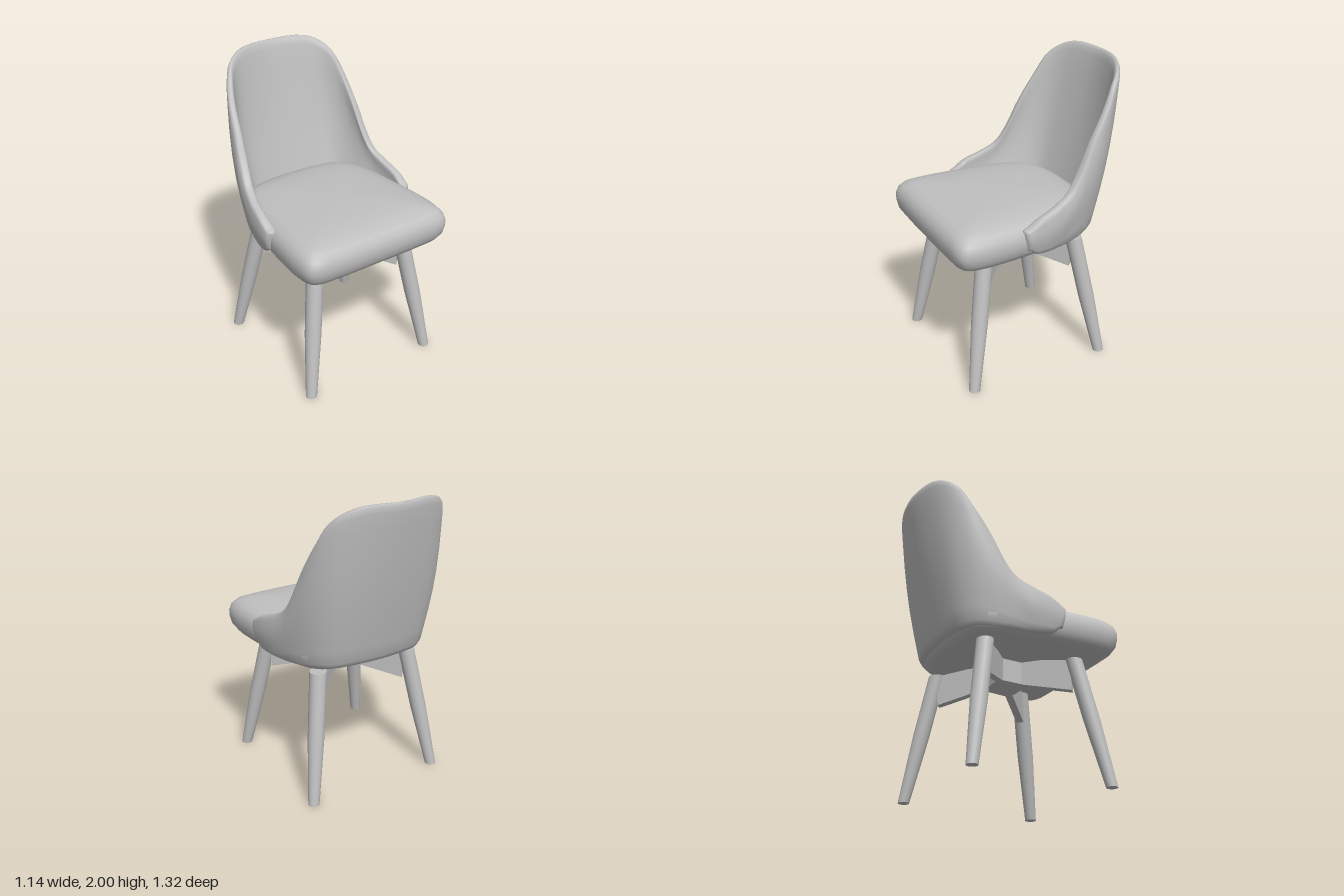
import * as THREE from 'three';
import { toCreasedNormals } from 'three/addons/utils/BufferGeometryUtils.js';

const grey = new THREE.MeshStandardMaterial({ color: 0xbfbfbf });
grey.name = 'plain grey';

const V = (x, y, z) => new THREE.Vector3(x, y, z);

// Skins a stack of closed loops, caps both ends and turns the faces outward
function loft(loops, crease = 0.9) {
  const n = loops[0].length, pts = loops.flat(), idx = [];
  for (let i = 0; i < loops.length - 1; i++) {
    for (let j = 0; j < n; j++) {
      const a = i * n + j, b = i * n + (j + 1) % n;
      idx.push(a, b, a + n, b, b + n, a + n);
    }
  }
  [0, loops.length - 1].forEach((row, end) => {
    const c = V(0, 0, 0);
    loops[row].forEach((p) => c.addScaledVector(p, 1 / n));
    const k = pts.push(c) - 1;
    for (let j = 0; j < n; j++) {
      const a = row * n + j, b = row * n + (j + 1) % n;
      if (end) idx.push(a, b, k); else idx.push(b, a, k);
    }
  });
  let volume = 0;
  for (let i = 0; i < idx.length; i += 3) {
    volume += pts[idx[i]].dot(pts[idx[i + 1]].clone().cross(pts[idx[i + 2]]));
  }
  if (volume < 0) idx.reverse();
  const geo = new THREE.BufferGeometry().setFromPoints(pts);
  geo.setIndex(idx);
  return toCreasedNormals(geo, crease);
}

// Mirrors a half list that starts on the centre line
const mirrored = (half) => [
  ...half.slice(1).reverse().map(([x, y, z]) => V(-x, y, z)),
  ...half.map((p) => V(...p)),
];

function part(group, name, geo) {
  const mesh = new THREE.Mesh(geo, grey);
  mesh.name = name;
  group.add(mesh);
  return mesh;
}

// Wraparound back: sections between a lower edge and a sweeping rim
function backShell() {
  const rim = new THREE.CatmullRomCurve3(mirrored([
    [0, 2, -0.665], [0.25, 1.995, -0.62], [0.36, 1.95, -0.56], [0.42, 1.88, -0.49],
    [0.457, 1.75, -0.41], [0.48, 1.57, -0.3], [0.5, 1.37, -0.2], [0.52, 1.27, -0.13],
    [0.545, 1.21, -0.02], [0.56, 1.165, 0.1], [0.56, 1.11, 0.19],
  ]));
  const base = new THREE.CatmullRomCurve3(mirrored([
    [0, 0.935, -0.455], [0.2, 0.935, -0.44], [0.32, 0.93, -0.405], [0.4, 0.93, -0.34],
    [0.455, 0.92, -0.24], [0.49, 0.915, -0.14], [0.51, 0.91, -0.05], [0.525, 0.91, 0.02],
    [0.535, 0.915, 0.08], [0.54, 0.925, 0.13], [0.55, 0.96, 0.17],
  ]));
  // [height fraction, depth into the thickness], outer face up then inner face down
  const outer = [[0, 0.12], [0.03, 0], [0.12, 0], [0.25, 0], [0.4, 0], [0.55, 0], [0.7, 0],
    [0.85, 0], [0.95, 0], [0.985, 0.1], [1, 0.35]];
  const profile = [...outer, ...outer.map(([t, d]) => [t, 1 - d]).reverse()];
  const rows = 80, loops = [];

  const section = (u, squash, push) => {
    const e = rim.getPoint(u), b = base.getPoint(u);
    const u0 = Math.max(0, u - 0.01), u1 = Math.min(1, u + 0.01);
    const tan = rim.getPoint(u1).add(base.getPoint(u1)).sub(rim.getPoint(u0)).sub(base.getPoint(u0));
    const out = V(tan.z, 0, -tan.x).normalize();
    const s = Math.abs(2 * u - 1);
    const bulge = 0.014 + 0.018 * Math.sin(Math.PI * s);
    const mid = b.clone().lerp(e, 0.5);
    return profile.map(([t, d]) => {
      const p = b.clone().lerp(e, t);
      const thick = THREE.MathUtils.lerp(0.085, 0.035 + 0.025 * s, t);
      const depth = 0.5 + (d - 0.5) * squash;
      p.addScaledVector(out, bulge * Math.sin(Math.PI * t) - thick * depth);
      p.y = mid.y + (p.y - mid.y) * (1 - (1 - squash) * 0.25);
      p.z += push;
      return p;
    });
  };

  // Rounded noses close the two arm tips
  const nose = [[0.3, 0.026], [0.65, 0.021], [0.88, 0.012]];
  nose.forEach(([q, z]) => loops.push(section(0, q, z)));
  for (let i = 0; i <= rows; i++) loops.push(section(i / rows, 1, 0));
  nose.slice().reverse().forEach(([q, z]) => loops.push(section(1, q, z)));
  return loft(loops, 1.2);
}

// Seat cushion: one plan outline shrunk ring by ring into a soft crown
function cushion() {
  const half = [[0, 0, 0.663], [0.35, 0, 0.66], [0.48, 0, 0.65], [0.535, 0, 0.615],
    [0.557, 0, 0.5], [0.55, 0, 0.3], [0.53, 0, 0.1], [0.505, 0, -0.1], [0.46, 0, -0.27],
    [0.38, 0, -0.37], [0.2, 0, -0.42], [0, 0, -0.43]];
  const outline = new THREE.CatmullRomCurve3(mirrored(half).slice(1), true);
  const plan = outline.getPoints(72).slice(0, 72);
  const rings = [[0.5, 0.885], [0.2, 0.888], [0.08, 0.895], [0.035, 0.912], [0.01, 0.95],
    [0, 1.0], [0, 1.04], [0.012, 1.08], [0.04, 1.113], [0.085, 1.135], [0.16, 1.152],
    [0.28, 1.163], [0.42, 1.169], [0.52, 1.17]];
  return loft(rings.map(([inset, y]) => plan.map((p) => {
    const k = 1 - inset / 0.55;
    return V(p.x * k, y, 0.115 + (p.z - 0.115) * k);
  })), 1.2);
}

// Splayed leg with level ends, tapering in its lower half
function leg(sx, sz) {
  const rings = [[0, 0.037], [0.43, 0.054], [0.865, 0.056]];
  return loft(rings.map(([y, r]) => {
    const f = 1 - y / 0.865, loop = [];
    const cx = sx * (0.345 + 0.133 * f), cz = 0.07 + sz * (0.33 + 0.15 * f);
    for (let i = 0; i < 20; i++) {
      const a = i / 20 * Math.PI * 2;
      loop.push(V(cx + r * Math.cos(a), y, cz + r * Math.sin(a)));
    }
    return loop;
  }));
}

export function createModel() {
  const chair = new THREE.Group();
  chair.name = 'chair';
  part(chair, 'seatCushion', cushion());
  part(chair, 'backShell', backShell());

  // Chamfered hub under the seat
  const frame = new THREE.Group();
  frame.name = 'underframe';
  chair.add(frame);
  const corners = [[0.08, 0.11], [0.11, 0.07], [0.11, -0.07], [0.08, -0.11],
    [-0.08, -0.11], [-0.11, -0.07], [-0.11, 0.07], [-0.08, 0.11]];
  part(frame, 'hub', loft([0.73, 0.895].map((y) => corners.map(([x, z]) => V(x, y, z + 0.08))), 0.3));

  // Four tapered arms reach out to the four legs
  const side = new THREE.Shape([[0.05, 0.73], [0.12, 0.73], [0.46, 0.65], [0.46, 0.86],
    [0.2, 0.893], [0.05, 0.893]].map(([x, y]) => new THREE.Vector2(x, y)));
  const armGeo = new THREE.ExtrudeGeometry(side, { depth: 0.05, bevelEnabled: false });
  armGeo.translate(0, 0, -0.025);
  for (const sx of [1, -1]) {
    for (const sz of [1, -1]) {
      const label = (sz > 0 ? 'front' : 'rear') + (sx > 0 ? 'Left' : 'Right');
      part(chair, label + 'Leg', leg(sx, sz));
      const arm = part(frame, label + 'Arm', armGeo);
      arm.position.z = 0.07;
      arm.rotation.y = Math.atan2(-sz * 0.33, sx * 0.345);
    }
  }
  return chair;
}
